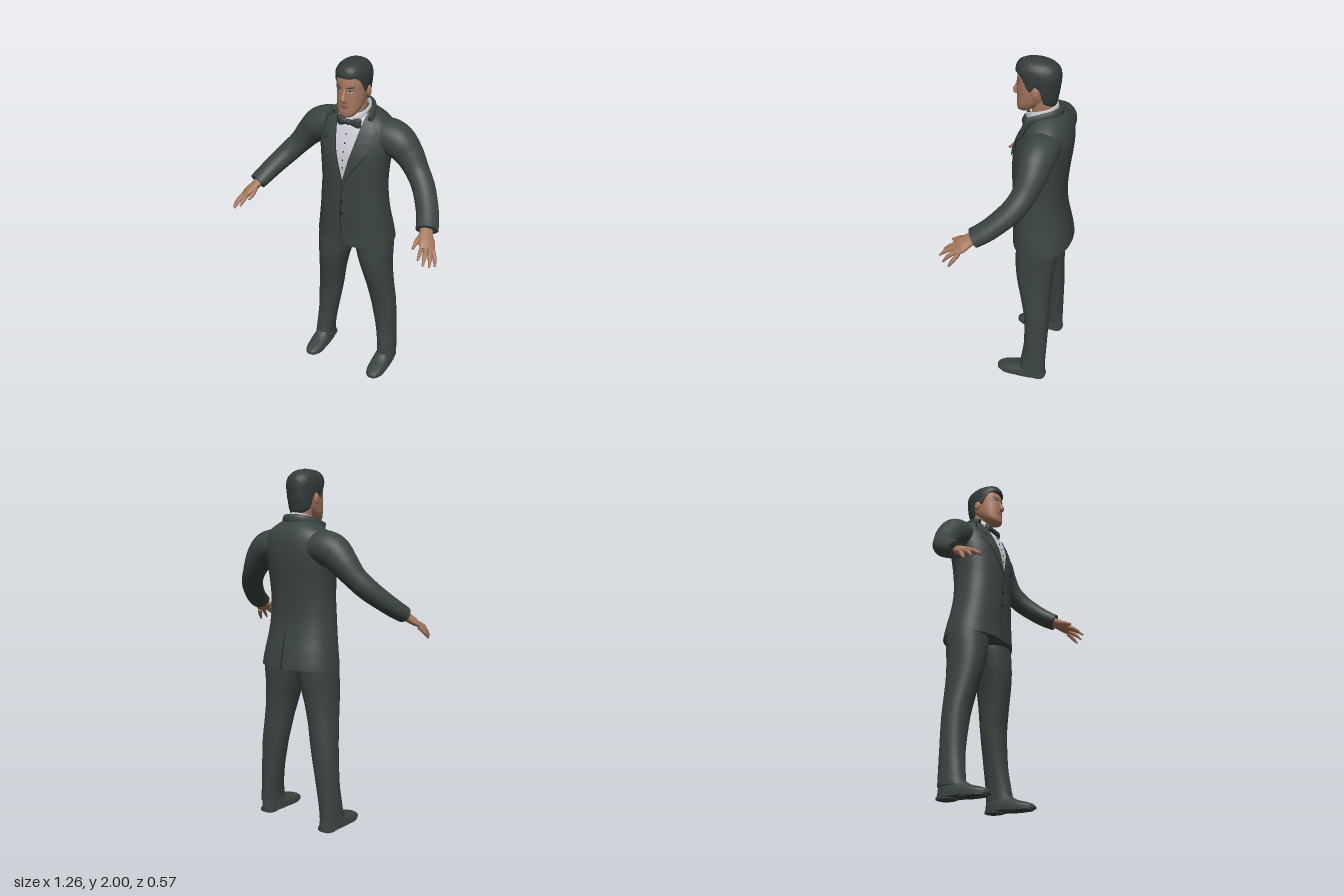
import * as THREE from 'three';

const mat = (name, color) => Object.assign(new THREE.MeshStandardMaterial({ color }), { name });
const V = (p) => new THREE.Vector3(...p);

// Catmull-Rom lookup in a table of rows keyed by their first column
function row(rows, k) {
  let i = 0;
  while (i < rows.length - 2 && k > rows[i + 1][0]) i++;
  const at = (j) => rows[Math.min(Math.max(j, 0), rows.length - 1)];
  const [p, q, r, s] = [at(i - 1), at(i), at(i + 1), at(i + 2)];
  const u = Math.min(Math.max((k - q[0]) / (r[0] - q[0]), 0), 1);
  return q.map((b, c) => c === 0 ? k : 0.5 * (2 * b + (r[c] - p[c]) * u
    + (2 * p[c] - 5 * b + 4 * r[c] - s[c]) * u * u + (3 * b - p[c] - 3 * r[c] + s[c]) * u * u * u));
}

function build(points, index) {
  const g = new THREE.BufferGeometry().setFromPoints(points);
  g.setIndex(index);
  g.computeVertexNormals();
  return g;
}

// Closed skin over rings of points, with flat caps at both ends
function loft(rings) {
  const n = rings[0].length;
  const mid = (r) => {
    const c = r.reduce((s, p) => s.add(p), new THREE.Vector3()).divideScalar(n);
    return r.map(() => c.clone());
  };
  const first = rings[0], last = rings[rings.length - 1];
  const all = [mid(first), first, ...rings, last, mid(last)];
  const index = [];
  for (let i = 0; i < all.length - 1; i++) {
    if (i === 1 || i === all.length - 3) continue;
    for (let j = 0; j < n; j++) {
      const a = i * n + j, b = i * n + (j + 1) % n;
      index.push(a, b, a + n, b, b + n, a + n);
    }
  }
  return build(all.flat(), index);
}

// Point on a rounded horizontal section; row = [y, centreX, halfWidth, frontZ, backZ]
function sectionPoint([y, cx, a, zf, zb], t, n) {
  const pw = (v) => Math.sign(v) * Math.abs(v) ** (2 / n);
  return V([cx + a * pw(Math.cos(t)), y, (zf + zb) / 2 - (zf - zb) / 2 * pw(Math.sin(t))]);
}
const circle = (n, f) => Array.from({ length: n }, (_, j) => f(j / n * Math.PI * 2));

function body(rows, n = 2.2, steps = 36, seg = 48) {
  const y0 = rows[0][0], y1 = rows[rows.length - 1][0];
  return loft(Array.from({ length: steps + 1 }, (_, i) => {
    const r = row(rows, y0 + (y1 - y0) * i / steps);
    return circle(seg, (t) => sectionPoint(r, t, n));
  }));
}

// Elliptical limb along a path; radii = [along hint, across hint] for each point
function limb(points, radii, hint, steps = 20, seg = 20) {
  const curve = new THREE.CatmullRomCurve3(points.map(V));
  const table = radii.map((r, i) => [i, ...r]);
  return loft(Array.from({ length: steps + 1 }, (_, i) => {
    const t = i / steps, c = curve.getPoint(t), T = curve.getTangent(t);
    const U = V(hint).addScaledVector(T, -V(hint).dot(T)).normalize();
    const W = T.clone().cross(U);
    const [, a, b] = row(table, t * (points.length - 1));
    return circle(seg, (q) => c.clone().addScaledVector(U, a * Math.cos(q)).addScaledVector(W, b * Math.sin(q)));
  }));
}

// Depth of a body's front (s = 1) or back (s = -1) at x, y
function depth(rows, n, x, y, s) {
  const [, , a, zf, zb] = row(rows, y);
  return (zf + zb) / 2 + s * (zf - zb) / 2 * Math.max(0, 1 - Math.abs(x / a) ** n) ** (1 / n);
}

// Thin panel draped on a body; edges = [y, x1, x2] from top to bottom
function drape(rows, n, edges, off, s = 1) {
  const pts = [], index = [], cols = 8, sub = 6;
  for (let i = 0; i <= (edges.length - 1) * sub; i++) {
    const e = Math.min(Math.floor(i / sub), edges.length - 2), u = i / sub - e;
    const [y, p, q] = edges[e].map((v, c) => v + (edges[e + 1][c] - v) * u);
    const lo = s > 0 ? Math.min(p, q) : Math.max(p, q), hi = p + q - lo;
    for (let j = 0; j <= cols; j++) {
      const x = lo + (hi - lo) * j / cols;
      pts.push(V([x, y, depth(rows, n, x, y, s) + s * off]));
    }
  }
  for (let i = 0; i < (edges.length - 1) * sub; i++) for (let j = 0; j < cols; j++) {
    const a = i * (cols + 1) + j, c = a + cols + 1;
    index.push(a, c, a + 1, a + 1, c, c + 1);
  }
  return build(pts, index);
}

const ball = (x, y, z, sx, sy, sz) => new THREE.SphereGeometry(1, 20, 14).scale(sx, sy, sz).translate(x, y, z);

export function createModel() {
  const model = new THREE.Group();
  const suit = mat('suit', 0x3b4442), shirt = mat('shirt', 0xc9c9d2), skin = mat('skin', 0xa5775e);
  const hair = mat('hair', 0x333b3a), seam = mat('seam', 0x1d2221), lip = mat('lip', 0x85574a);
  const white = mat('eyeWhite', 0xc4bdb8), iris = mat('iris', 0x4f7580);
  const add = (name, geo, m) => {
    const mesh = new THREE.Mesh(geo, m);
    mesh.name = name;
    model.add(mesh);
  };
  const pair = (name, geo, m) => {
    const g = geo.clone().scale(-1, 1, 1), ix = g.index.array;
    for (let i = 0; i < ix.length; i += 3) [ix[i], ix[i + 1]] = [ix[i + 1], ix[i]];
    g.computeVertexNormals();
    add(name + 'Left', geo, m);
    add(name + 'Right', g, m);
  };

  // Jacket
  const torso = [[0.92, 0, 0.235, 0.05, -0.285], [1, 0, 0.224, 0.05, -0.272], [1.1, 0, 0.208, 0.053, -0.25],
    [1.2, 0, 0.197, 0.055, -0.237], [1.3, 0, 0.19, 0.056, -0.24], [1.4, 0, 0.194, 0.056, -0.25],
    [1.5, 0, 0.204, 0.048, -0.262], [1.57, 0, 0.206, 0.025, -0.265], [1.63, 0, 0.2, -0.002, -0.258],
    [1.67, 0, 0.178, -0.026, -0.243], [1.7, 0, 0.135, -0.046, -0.222], [1.72, 0, 0.098, -0.06, -0.2],
    [1.732, 0, 0.065, -0.07, -0.18]];
  const TN = 2.3;
  add('jacket', body(torso, TN, 60, 64), suit);
  add('frontSeam', drape(torso, TN, [[1.35, -0.002, 0.002], [1.2, -0.018, -0.014], [0.98, -0.022, -0.018], [0.922, -0.008, -0.003]], 0.003), seam);
  add('backVent', drape(torso, TN, [[1.12, -0.002, 0.002], [0.922, -0.005, 0.005]], 0.003, -1), seam);
  for (const y of [1.22, 1.14]) add('jacketButton', ball(-0.008, y, depth(torso, TN, 0, y, 1), 0.011, 0.011, 0.007), seam);

  // Shirt front, studs, lapels
  add('shirtFront', drape(torso, TN, [[1.71, -0.086, 0.086], [1.62, -0.07, 0.07], [1.53, -0.05, 0.05], [1.35, -0.001, 0.001]], 0.004), shirt);
  for (let i = 0; i < 5; i++) {
    const y = 1.61 - i * 0.045;
    add('shirtStud', ball(0, y, depth(torso, TN, 0, y, 1) + 0.005, 0.004, 0.004, 0.004), seam);
  }
  const lapel = [[1.708, 0.082, 0.112], [1.625, 0.068, 0.155], [1.585, 0.06, 0.118], [1.575, 0.058, 0.108],
    [1.55, 0.053, 0.146], [1.45, 0.027, 0.078], [1.34, -0.002, 0.008]];
  pair('lapelSeam', drape(torso, TN, lapel.map(([y, a, b]) => [y, a - 0.002, b + 0.004]), 0.006), seam);
  pair('lapel', drape(torso, TN, lapel, 0.009), suit);

  // Collars wrapped round the neck
  const wrap = (half) => [...half, ...half.slice(0, -1).reverse().map(([x, y, z]) => [-x, y, z])];
  add('jacketCollar', limb(wrap([[0.108, 1.688, -0.045], [0.098, 1.712, -0.11], [0.062, 1.728, -0.175], [0, 1.732, -0.198]]),
    Array(7).fill([0.026, 0.012]), [0, 1, 0], 36), suit);
  add('shirtCollar', limb(wrap([[0.03, 1.682, -0.022], [0.068, 1.706, -0.065], [0.062, 1.73, -0.145], [0, 1.742, -0.176]]),
    Array(7).fill([0.025, 0.007]), [0, 1, 0], 36), shirt);
  add('shirtBand', body([[1.62, 0, 0.07, -0.03, -0.18], [1.7, 0, 0.066, -0.034, -0.172], [1.715, 0, 0.062, -0.036, -0.17]], 2, 6), shirt);

  // Bow tie
  pair('bowWing', limb([[0.006, 1.67, -0.012], [0.03, 1.67, -0.012], [0.056, 1.67, -0.017], [0.069, 1.67, -0.022]],
    [[0.013, 0.009], [0.02, 0.014], [0.03, 0.014], [0.027, 0.008]], [0, 1, 0]), hair);
  add('bowKnot', ball(0, 1.67, -0.01, 0.014, 0.017, 0.015), hair);

  // Sleeves
  pair('sleeve', limb([[0.13, 1.585, -0.14], [0.19, 1.58, -0.137], [0.245, 1.557, -0.132], [0.303, 1.505, -0.128], [0.365, 1.43, -0.108],
    [0.42, 1.368, -0.07], [0.475, 1.303, 0], [0.51, 1.257, 0.062], [0.53, 1.228, 0.112]],
  [[0.095, 0.09], [0.098, 0.094], [0.094, 0.094], [0.08, 0.08], [0.066, 0.064], [0.063, 0.06], [0.061, 0.054], [0.06, 0.05], [0.06, 0.046]],
  [1, 0, -0.9], 48, 32), suit);

  // Hands
  pair('palm', limb([[0.522, 1.235, 0.095], [0.535, 1.212, 0.135], [0.557, 1.187, 0.172], [0.571, 1.17, 0.198]],
    [[0.034, 0.025], [0.039, 0.024], [0.046, 0.021], [0.042, 0.013]], [0.85, -0.4, -0.4]), skin);
  const fingers = { thumb: [[0.522, 1.215, 0.14], [0.509, 1.196, 0.19], [0.507, 1.177, 0.236]],
    indexFinger: [[0.545, 1.185, 0.188], [0.548, 1.163, 0.235], [0.55, 1.138, 0.268]],
    middleFinger: [[0.563, 1.178, 0.192], [0.577, 1.153, 0.243], [0.584, 1.122, 0.28]],
    ringFinger: [[0.58, 1.168, 0.184], [0.6, 1.138, 0.225], [0.61, 1.104, 0.254]],
    littleFinger: [[0.592, 1.158, 0.172], [0.616, 1.124, 0.198], [0.627, 1.094, 0.218]] };
  for (const [name, path] of Object.entries(fingers)) {
    const r = name === 'thumb' ? 0.015 : 0.0125;
    pair(name, limb(path, [[r, r], [r * 0.9, r * 0.9], [r * 0.45, r * 0.45]], [1, 0, 0], 12, 12), skin);
  }

  // Trousers
  pair('trouserLeg', body([[0.065, 0.226, 0.056, -0.032, -0.196], [0.1, 0.224, 0.056, -0.042, -0.196], [0.25, 0.209, 0.062, -0.06, -0.2],
    [0.45, 0.186, 0.076, -0.055, -0.205], [0.6, 0.165, 0.08, -0.026, -0.206], [0.7, 0.149, 0.087, -0.003, -0.21],
    [0.8, 0.133, 0.1, 0.01, -0.22], [0.93, 0.117, 0.115, 0.01, -0.235], [0.98, 0.112, 0.106, 0.005, -0.23]], 2.2), suit);

  // Shoes
  pair('shoe', body([[0.014, 0.222, 0.057, 0.106, -0.199], [0.03, 0.222, 0.056, 0.096, -0.199], [0.045, 0.222, 0.053, 0.058, -0.197],
    [0.06, 0.222, 0.049, 0.005, -0.195], [0.08, 0.223, 0.046, -0.03, -0.192], [0.1, 0.223, 0.045, -0.05, -0.19]], 2.5, 20), suit);
  const slab = (y0, y1, zf, zb, a) => body([[y0, 0.222, a, zf, zb], [y1, 0.222, a, zf, zb]], 2.6, 2);
  pair('sole', slab(0.006, 0.018, 0.11, -0.202, 0.06), suit);
  pair('soleTread', slab(0, 0.008, 0.092, -0.065, 0.055), suit);
  pair('heel', slab(0, 0.012, -0.1, -0.2, 0.05), suit);

  // Head and neck
  const head = [[1.712, 0, 0.024, 0.028, -0.02], [1.72, 0, 0.039, 0.035, -0.035], [1.74, 0, 0.055, 0.038, -0.065],
    [1.77, 0, 0.067, 0.037, -0.105], [1.8, 0, 0.073, 0.038, -0.14], [1.85, 0, 0.078, 0.036, -0.165],
    [1.9, 0, 0.08, 0.035, -0.175], [1.95, 0, 0.072, 0.022, -0.165], [1.98, 0, 0.05, -0.01, -0.13]];
  add('head', body(head, 2.2, 44), skin);
  add('neck', body([[1.69, 0, 0.06, -0.038, -0.166], [1.75, 0, 0.057, -0.042, -0.163], [1.82, 0, 0.06, -0.03, -0.163]], 2, 8), skin);
  add('nose', limb([[0, 1.866, 0.028], [0, 1.835, 0.042], [0, 1.814, 0.05], [0, 1.8, 0.04]],
    [[0.007, 0.008], [0.01, 0.011], [0.016, 0.013], [0.014, 0.008]], [1, 0, 0]), skin);
  pair('ear', ball(0.085, 1.838, -0.078, 0.01, 0.031, 0.019), skin);

  // Face details
  pair('eyeWhite', drape(head, 2.2, [[1.863, 0.027, 0.037], [1.857, 0.017, 0.048], [1.85, 0.026, 0.04]], 0.002), white);
  pair('iris', drape(head, 2.2, [[1.863, 0.03, 0.034], [1.857, 0.026, 0.038], [1.851, 0.029, 0.035]], 0.004), iris);
  pair('upperLid', drape(head, 2.2, [[1.867, 0.026, 0.038], [1.863, 0.016, 0.05]], 0.004), seam);
  pair('eyebrow', drape(head, 2.2, [[1.884, 0.034, 0.05], [1.88, 0.018, 0.056], [1.875, 0.013, 0.03]], 0.004), hair);
  add('mouth', drape(head, 2.2, [[1.782, -0.01, 0.01], [1.774, -0.027, 0.027], [1.764, -0.012, 0.012]], 0.003), lip);

  // Hair: a shell whose lower edge runs round forehead, sideburns, ears and nape
  const shell = [[1.75, 0, 0.064, 0.03, -0.168], [1.8, 0, 0.077, 0.035, -0.178], [1.85, 0, 0.084, 0.04, -0.187],
    [1.92, 0, 0.087, 0.043, -0.192], [1.955, 0, 0.08, 0.042, -0.182], [1.98, 0, 0.062, 0.026, -0.155],
    [1.993, 0, 0.042, 0, -0.125], [2, 0, 0.012, -0.04, -0.085]];
  const hairline = [[-1, 1.762], [-0.7, 1.768], [-0.4, 1.79], [-0.2, 1.86], [0, 1.875], [0.2, 1.845], [0.45, 1.89], [0.7, 1.925], [1, 1.928]];
  const rings = Array.from({ length: 29 }, (_, i) => circle(72, (t) => {
    const low = row(hairline, -Math.sin(t))[1], s = Math.sin(Math.max(0, i - 1) / 28 * Math.PI / 2 * 28 / 27);
    const p = sectionPoint(row(shell, low + (2 - low) * s), t, 2.2);
    const tuft = 1 + 0.012 * Math.sin(7 * t + 19 * s) * Math.sin(31 * s + 3 * Math.cos(5 * t));
    const k = i === 0 ? 0.85 : tuft;
    return p.set(p.x * k, p.y, -0.075 + (p.z + 0.075) * k);
  }));
  add('hair', loft(rings), hair);
  return model;
}
